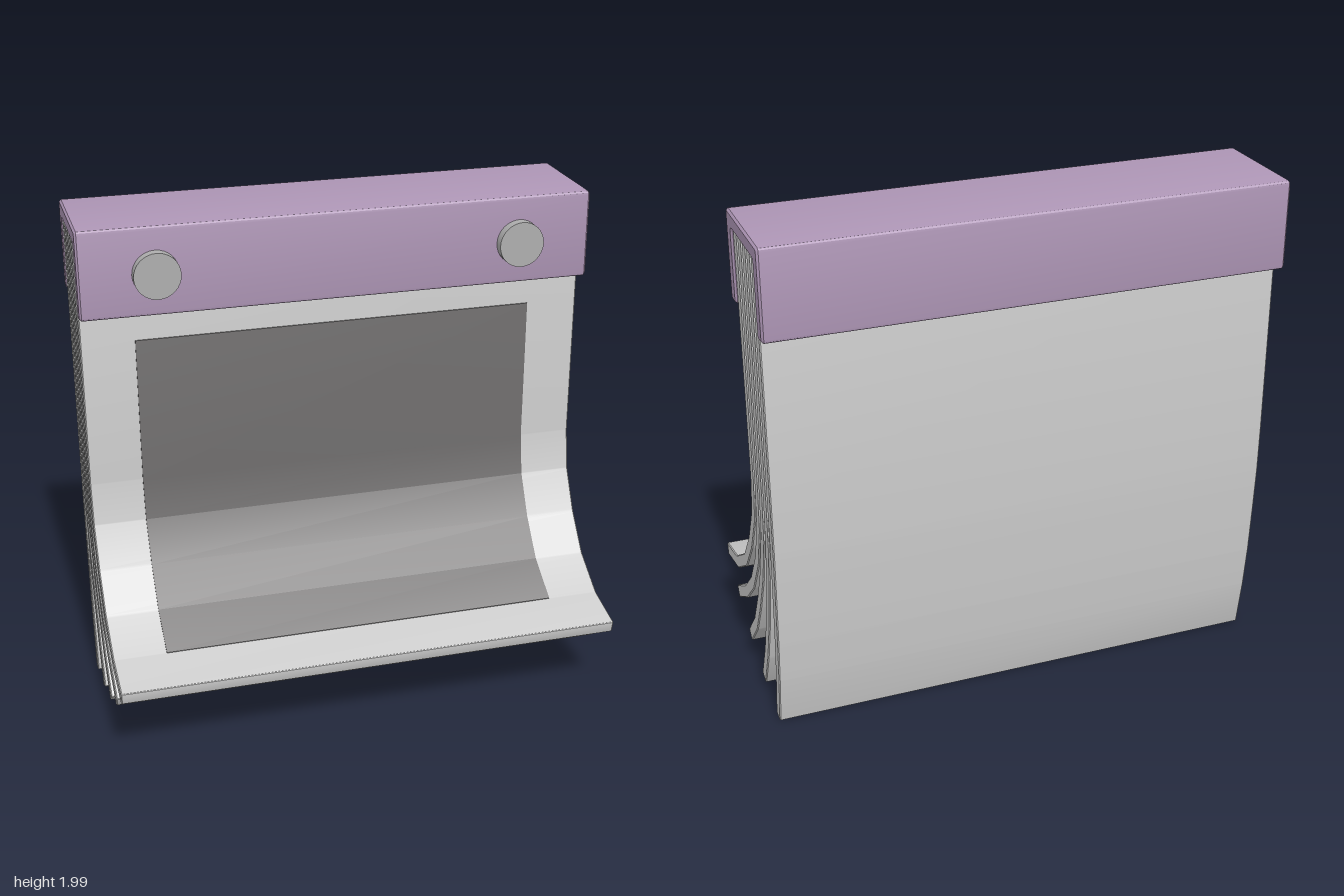
import * as THREE from 'three';
import { toCreasedNormals } from 'three/addons/utils/BufferGeometryUtils.js';

const mat = (color) => new THREE.MeshStandardMaterial({ color });
const V = (z, y) => new THREE.Vector2(z, y);

// Closed outline with softened corners
function roundedShape(points, r) {
  const shape = new THREE.Shape();
  points.forEach((p, i) => {
    const n = points.length;
    const toward = (q) => p.clone().add(q.clone().sub(p).setLength(r));
    const a = toward(points[(i + n - 1) % n]);
    const b = toward(points[(i + 1) % n]);
    if (i === 0) shape.moveTo(a.x, a.y);
    else shape.lineTo(a.x, a.y);
    shape.quadraticCurveTo(p.x, p.y, b.x, b.y);
  });
  shape.closePath();
  return shape;
}

// Sweep a (z, y) side profile across the width, centred on x = 0
function sweep(name, points, width, radius, bevel, material) {
  const geo = new THREE.ExtrudeGeometry(roundedShape(points, radius), {
    depth: width - 2 * bevel, curveSegments: 3,
    bevelEnabled: bevel > 0, bevelThickness: bevel, bevelSize: bevel, bevelOffset: -bevel, bevelSegments: 1,
  });
  geo.translate(0, 0, -(width - 2 * bevel) / 2);
  geo.rotateY(-Math.PI / 2);
  const mesh = new THREE.Mesh(toCreasedNormals(geo, 0.55), material);
  mesh.name = name;
  return mesh;
}

// Shift a path sideways by d (positive = toward the front), mitred at bends
function offsetPath(path, d) {
  const normal = (a, b) => V(a.y - b.y, b.x - a.x).normalize();
  return path.map((p, i) => {
    const n1 = normal(path[Math.max(i - 1, 0)], path[Math.max(i, 1)]);
    const last = path.length - 1;
    const n2 = normal(path[Math.min(i, last - 1)], path[Math.min(i + 1, last)]);
    const m = n1.clone().add(n2).normalize();
    return p.clone().addScaledVector(m, d / m.dot(n1));
  });
}
const ribbon = (front, back) => [...front, ...back.slice().reverse()];

export function createModel() {
  const group = new THREE.Group();
  const grey = mat(0xcccccc);
  const purple = mat(0xae96b6);
  const dark = mat(0x6c6a6a);
  const studGrey = mat(0xaeaeae);

  // Channel-shaped binding along the top
  const binding = [
    V(-0.025, 2), V(-0.475, 2), V(-0.475, 1.655), V(-0.412, 1.655),
    V(-0.412, 1.94), V(-0.09, 1.94), V(-0.09, 1.655), V(-0.025, 1.655),
  ];
  group.add(sweep('binding', binding, 2, 0.016, 0.008, purple));

  // Sheets: straight at the top, curling forward below, front sheet first
  const curls = [
    [[-0.09, 0.79], [0, 0.625], [0.12, 0.48], [0.29, 0.375], [0.478, 0.335]],
    [[-0.165, 0.785], [-0.1, 0.6], [0.015, 0.435], [0.15, 0.315], [0.315, 0.22]],
    [[-0.23, 0.77], [-0.17, 0.575], [-0.085, 0.4], [0.005, 0.25], [0.13, 0.122]],
    [[-0.3, 0.77], [-0.27, 0.59], [-0.22, 0.39], [-0.16, 0.215], [-0.082, 0.05]],
    [[-0.375, 0.77], [-0.365, 0.59], [-0.352, 0.39], [-0.333, 0.215], [-0.3, 0.008]],
  ];
  const half = 0.026;
  const paths = curls.map((curl, i) => {
    const z = -0.119 - i * 0.0647;
    return [V(z, 1.938), V(z, 0.96), ...curl.map(([a, b]) => V(a, b))];
  });
  paths.forEach((path, i) => {
    const outline = ribbon(offsetPath(path, half), offsetPath(path, -half));
    const sheet = sweep(`sheet${i + 1}`, outline, 1.99, 0.007, 0.004, grey);
    sheet.position.x = -0.003;
    group.add(sheet);
  });

  // Dark panel lying on the front sheet
  const panelEdge = (d) => {
    const edge = offsetPath(paths[0], d).slice(0, -1);
    edge[0].y = 1.54;
    return edge;
  };
  const panel = sweep('frontPanel', ribbon(panelEdge(half + 0.004), panelEdge(half - 0.008)), 1.575, 0.001, 0, dark);
  panel.position.x = -0.003;
  group.add(panel);

  // Round studs on the front of the binding
  const studGeo = new THREE.CylinderGeometry(0.089, 0.089, 0.06, 32).rotateX(Math.PI / 2);
  for (const [name, x] of [['leftStud', 0.71], ['rightStud', -0.71]]) {
    const stud = new THREE.Mesh(studGeo, studGrey);
    stud.name = name;
    stud.position.set(x, 1.82, -0.015);
    group.add(stud);
  }
  return group;
}
